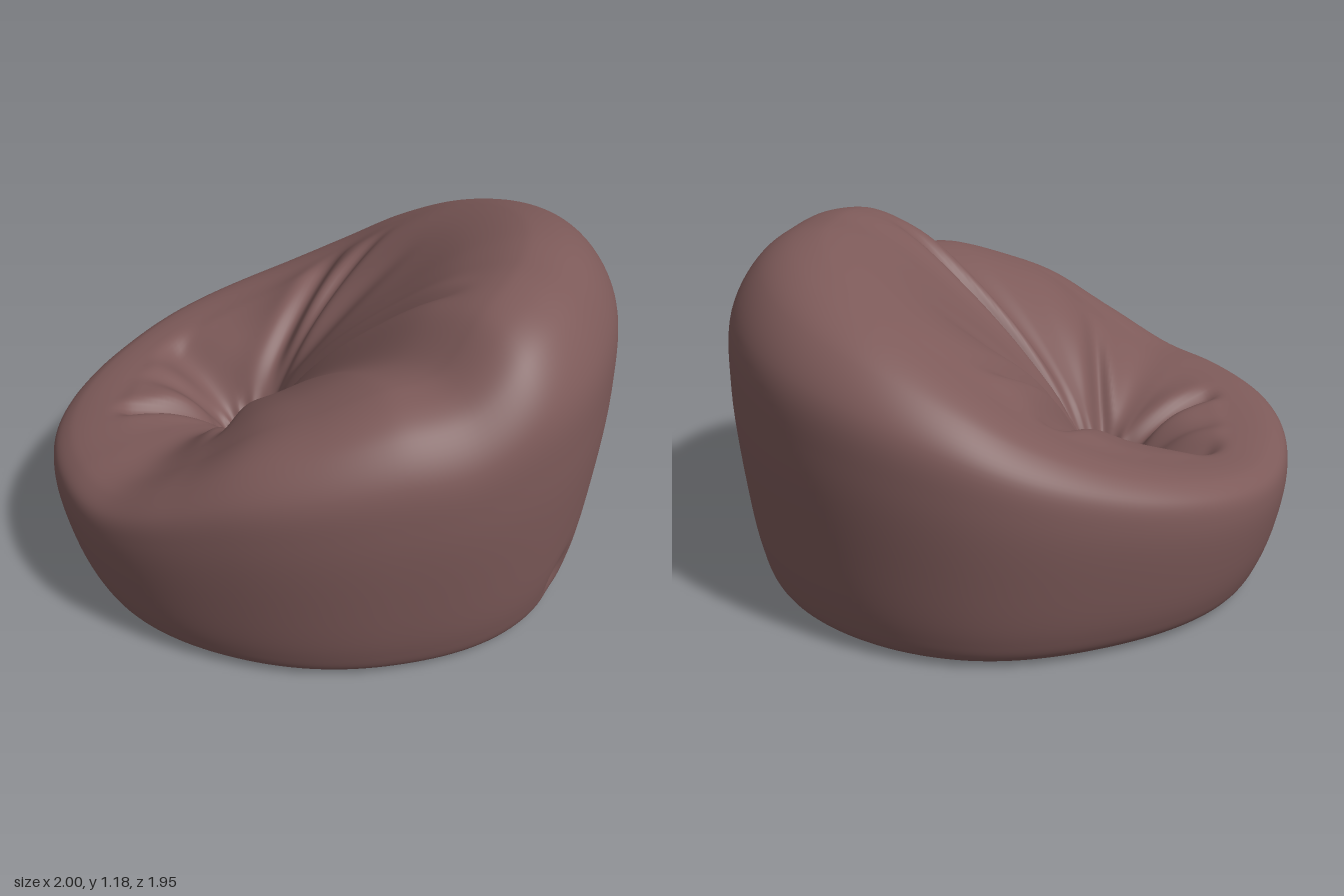
import * as THREE from 'three';

const SEG = 216, ROWS = 96;
const DIMPLE = { x: -0.28, z: -0.15, y: 0.22 };

// Outline radius every 30 degrees and rim height every 15 degrees, from +x toward +z
const OUTLINE = [1, 0.975, 1.005, 0.97, 0.97, 1.005, 1, 0.968, 0.98, 0.98, 1.03, 1.03];
const RIM = [1.17, 1.19, 1.19, 1.19, 1.15, 1.01, 0.98, 0.92, 0.84, 0.7, 0.58, 0.55,
  0.53, 0.51, 0.5, 0.5, 0.53, 0.58, 0.65, 0.75, 0.88, 0.99, 1.07, 1.13];

// Folds running out from the dimple: direction in degrees, length, width, depth
const FOLDS = [
  [43, 0.86, 0.035, 0.09], [108, 0.62, 0.035, 0.07], [171, 0.68, 0.04, 0.06],
  [238, 0.6, 0.1, 0.08], [-52, 0.92, 0.055, 0.08], [-34, 0.75, 0.04, 0.07],
  [-8, 0.65, 0.06, 0.03], [205, 0.45, 0.05, 0.04],
];

// Smooth closed interpolation through a table
function loopValue(table, turn) {
  const n = table.length, p = turn * n, i = Math.floor(p), f = p - i;
  const v = k => table[(i + k + n) % n];
  const a = v(-1), b = v(0), c = v(1), d = v(2);
  return b + 0.5 * f * (c - a + f * (2 * a - 5 * b + 4 * c - d + f * (3 * (b - c) + d - a)));
}

// Height change from the folds and the gathered cloth at the dimple
function foldHeight(x, z, u) {
  const dx = x - DIMPLE.x, dz = z - DIMPLE.z, dist = Math.hypot(dx, dz);
  let h = 0;
  for (const [deg, len, width, depth] of FOLDS) {
    const a = deg * Math.PI / 180;
    const along = dx * Math.cos(a) + dz * Math.sin(a);
    const across = dz * Math.cos(a) - dx * Math.sin(a);
    if (along <= 0 || along >= len) continue;
    const reach = Math.sin(Math.PI * Math.pow(along / len, 0.7));
    h += depth * reach * (0.3 * Math.exp(-((across / (width * 2.8)) ** 2))
      - Math.exp(-((across / width) ** 2)));
  }
  h += 0.012 * Math.sin(Math.atan2(dz, dx) * 13) * Math.exp(-((dist - 0.07) ** 2) / 0.003);
  return h * THREE.MathUtils.smoothstep(u, 0, 0.2);
}

// Cross-section at one angle: x = radius share, y = height, z = progress from rim to dimple
function section(H) {
  // Blend from the squarer low side (0) to the rounder high back (1)
  const k = THREE.MathUtils.clamp((H - 0.5) / 0.7, 0, 1);
  const mix = (low, high) => low + (high - low) * k;
  const crest = mix(0.82, 0.65);
  const seat = (u, s) => [crest, DIMPLE.y + (H - DIMPLE.y) * s, u];
  const points = [
    [0.74, 0.03, 0], [0.84, 0.012, 0], [0.9, 0.04, 0], [0.935, mix(0.1, 0.14), 0],
    [0.972, mix(0.42, 0.32) * H, 0], [0.998, mix(0.74, 0.6) * H, 0],
    [mix(0.985, 0.98), mix(0.88, 0.8) * H, 0], [mix(0.94, 0.885), mix(0.955, 0.93) * H, 0],
    [mix(0.89, 0.78), 0.985 * H, 0],
    seat(0, 1), seat(0.2, mix(0.97, 0.93)), seat(0.45, mix(0.86, 0.74)),
    seat(0.7, mix(0.6, 0.5)), seat(0.88, mix(0.28, 0.27)), seat(1, 0),
  ];
  return new THREE.CatmullRomCurve3(points.map(p => new THREE.Vector3(...p)));
}

function bagGeometry() {
  const position = [], index = [];
  let seed = 7;
  const random = () => (seed = (seed * 16807) % 2147483647) / 2147483647;
  const columns = Array.from({ length: SEG }, (_, j) => ({
    angle: j / SEG * Math.PI * 2,
    R: loopValue(OUTLINE, j / SEG),
    curve: section(loopValue(RIM, j / SEG)),
    // Ragged hem of the open underside
    hem: (Math.floor(j / 2) % 2 ? 0.012 : -0.012) + (random() - 0.5) * 0.03,
  }));
  for (let i = 0; i <= ROWS; i++) {
    for (const { angle, R, curve, hem } of columns) {
      const p = curve.getPoint(i / ROWS);
      const u = THREE.MathUtils.clamp(p.z, 0, 1);
      const c = Math.cos(angle), s = Math.sin(angle);
      let x = c * p.x * R, z = s * p.x * R, y = p.y;
      if (i < 7) {
        // Underside lip narrows to an off-centre oval opening, longest toward the high back
        const w = 1 - i / 7;
        const hole = 0.635 + 0.085 * Math.sin(2 * angle) + (i === 0 ? hem : 0);
        x += (0.04 + c * hole - x) * w;
        z += (0.11 + s * hole - z) * w;
      }
      x += (DIMPLE.x - x) * u;
      z += (DIMPLE.z - z) * u;
      if (u > 0) y += foldHeight(x, z, u);
      else {
        // Small pinch low on the wall
        const pinch = 0.025 * Math.exp(-((angle - 0.8) ** 2) / 0.005 - ((y - 0.15) ** 2) / 0.005);
        x -= c * pinch;
        z -= s * pinch;
      }
      position.push(x, Math.max(y, 0), z);
    }
  }
  for (let i = 0; i < ROWS; i++) {
    for (let j = 0; j < SEG; j++) {
      const n = (j + 1) % SEG;
      const a = i * SEG + j, b = i * SEG + n, d = a + SEG, e = b + SEG;
      index.push(a, d, b, b, d, e);
    }
  }
  const geometry = new THREE.BufferGeometry();
  geometry.setAttribute('position', new THREE.Float32BufferAttribute(position, 3));
  geometry.setIndex(index);
  geometry.computeVertexNormals();
  return geometry;
}

export function createModel() {
  const group = new THREE.Group();
  group.name = 'beanbagChair';
  const cloth = new THREE.MeshStandardMaterial({ color: 0x7d5a59, side: THREE.DoubleSide });
  cloth.name = 'brownCloth';
  const bag = new THREE.Mesh(bagGeometry(), cloth);
  bag.name = 'clothCover';
  group.add(bag);
  return group;
}
